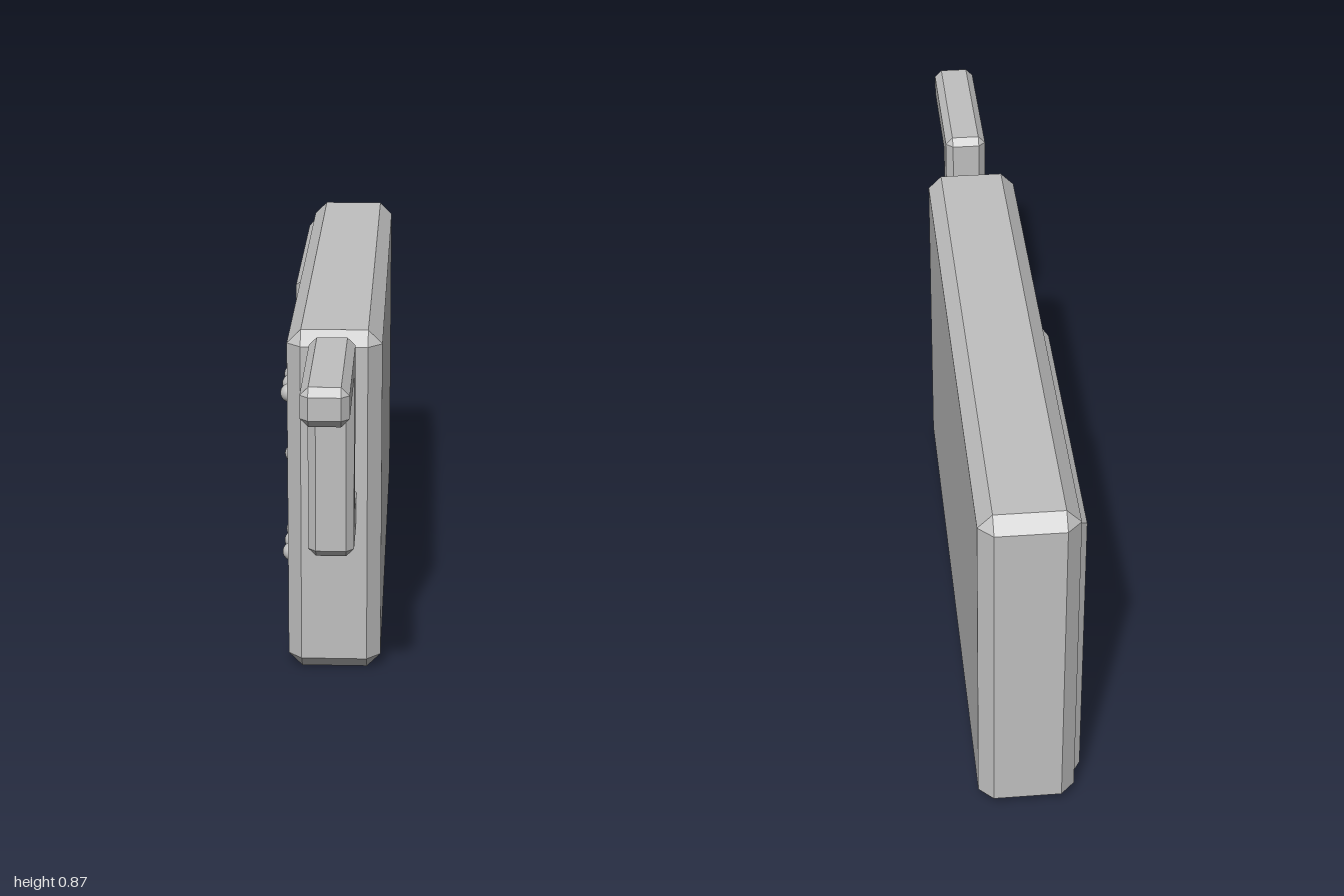
import * as THREE from 'three';

const grey = new THREE.MeshStandardMaterial({ color: 0xc0c0c0 });
grey.name = 'plain grey';

// Joins closed rings of [x, y, z] points into flat-faced quads; extra triangles may be added.
function ringsGeometry(rings, extra = []) {
  const tris = [...extra];
  const same = (a, b) => a.every((v, i) => Math.abs(v - b[i]) < 1e-6);
  const add = (a, b, c) => {
    if (!same(a, b) && !same(b, c) && !same(c, a)) tris.push(a, b, c);
  };
  for (let r = 0; r < rings.length - 1; r++) {
    const lo = rings[r], hi = rings[r + 1], n = lo.length;
    for (let i = 0; i < n; i++) {
      const j = (i + 1) % n;
      add(lo[i], lo[j], hi[j]);
      add(lo[i], hi[j], hi[i]);
    }
  }
  const geo = new THREE.BufferGeometry();
  geo.setAttribute('position', new THREE.Float32BufferAttribute(tris.flat(), 3));
  geo.computeVertexNormals();
  return geo;
}

// Prism along x over a right-angled (z, y) outline, every outer edge chamfered by c.
function chamferedPrism(points, x0, x1, c) {
  const pts = points.map(p => new THREE.Vector2(...p));
  const outer = [], inset = [], cap = [];
  pts.forEach((p, i) => {
    const prev = pts[(i + pts.length - 1) % pts.length];
    const next = pts[(i + 1) % pts.length];
    const din = p.clone().sub(prev).normalize();
    const dout = next.clone().sub(p).normalize();
    const convex = din.cross(dout) > 0;
    // inward normals of the two edges meeting here
    const q = p.clone().add(new THREE.Vector2(-din.y - dout.y, din.x + dout.x).multiplyScalar(c));
    cap.push(q);
    if (convex) {
      outer.push(p.clone().addScaledVector(din, -c), p.clone().addScaledVector(dout, c));
      inset.push(q, q);
    } else {
      outer.push(p);
      inset.push(q);
    }
  });
  const at = (list, x) => list.map(p => [x, p.y, p.x]);
  const caps = [];
  for (const [a, b, d] of THREE.ShapeUtils.triangulateShape(cap, [])) {
    const lo = at(cap, x0), hi = at(cap, x1);
    caps.push(lo[a], lo[b], lo[d], hi[d], hi[b], hi[a]);
  }
  return ringsGeometry([at(inset, x1), at(outer, x1 - c), at(outer, x0 + c), at(inset, x0)], caps);
}

export function createModel() {
  const model = new THREE.Group();
  model.name = 'crankDevice';
  const add = (name, geo) => {
    const mesh = new THREE.Mesh(geo, grey);
    mesh.name = name;
    model.add(mesh);
    return mesh;
  };

  // Slab body
  add('body', chamferedPrism([[-1, 0], [0.472, 0], [0.472, 0.848], [-1, 0.848]], -0.1, 0.123, 0.033));

  // Stepped crank: arm, post and handle in one piece
  add('crank', chamferedPrism([
    [0.43, 0.374], [0.683, 0.374], [0.683, 0.786], [1, 0.786],
    [1, 0.873], [0.578, 0.873], [0.578, 0.477], [0.43, 0.477],
  ], -0.04, 0.065, 0.018));

  // Raised screen frame with bevelled rim, and the sunken screen
  const rect = (inset, x) => {
    const z0 = -0.953 + inset, z1 = -0.211 - inset, y0 = 0.053 + inset, y1 = 0.801 - inset;
    return [[x, y0, z0], [x, y0, z1], [x, y1, z1], [x, y1, z0]];
  };
  add('screenFrame', ringsGeometry([
    rect(0, -0.099), rect(0.016, -0.116), rect(0.04, -0.116), rect(0.056, -0.101),
  ]));
  const s = rect(0.056, -0.101);
  add('screen', ringsGeometry([], [s[0], s[1], s[2], s[0], s[2], s[3]]));

  // Domed buttons in three rows
  const dome = new THREE.SphereGeometry(0.023, 20, 14);
  const rows = [
    [0.65, [0.055, 0.135, 0.215, 0.295]],
    [0.443, [0.135]],
    [0.225, [0.095, 0.175, 0.255]],
  ];
  for (const [y, zs] of rows) {
    for (const z of zs) add('button', dome).position.set(-0.102, y, z);
  }
  return model;
}
